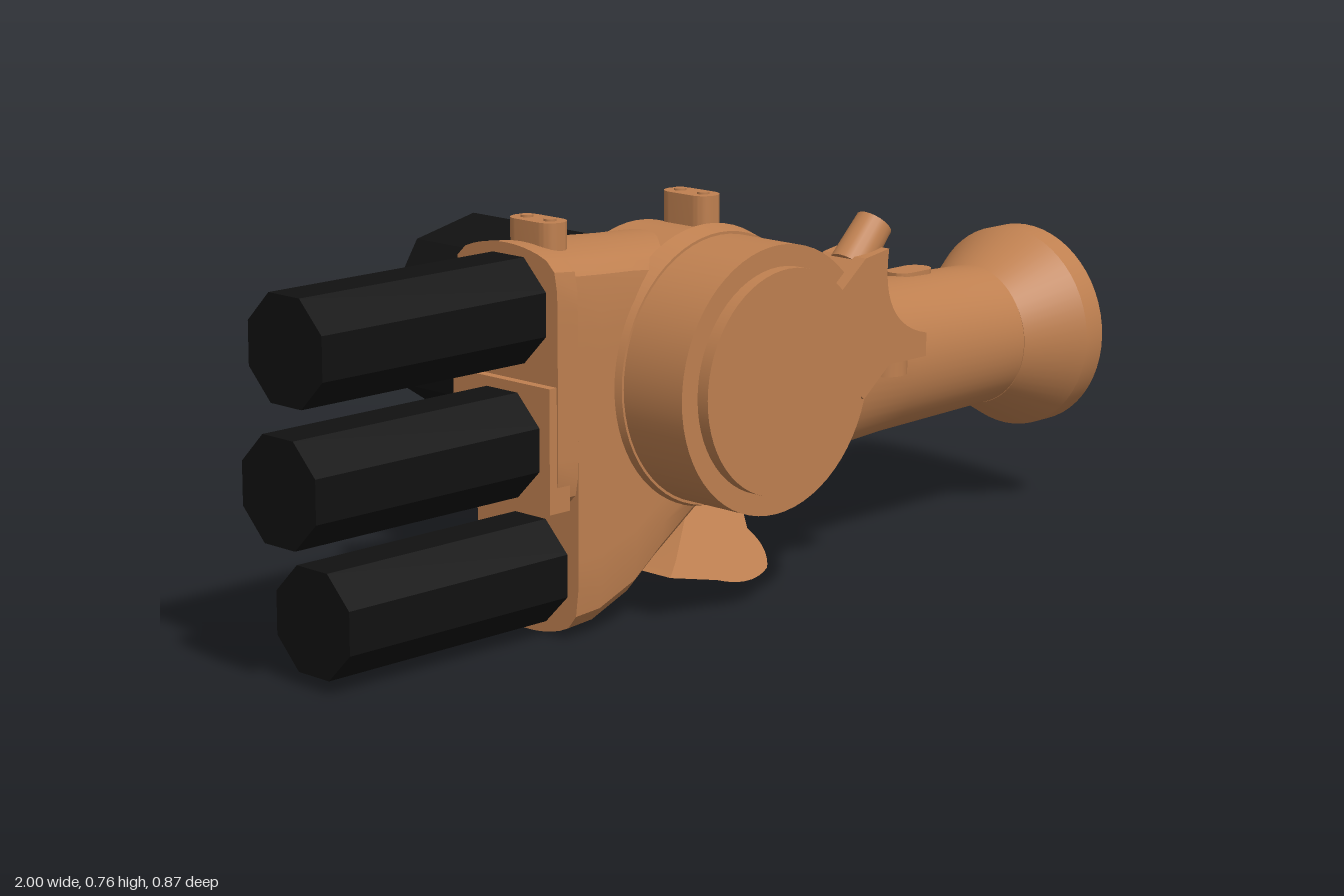
import * as THREE from 'three';
import { toCreasedNormals } from 'three/addons/utils/BufferGeometryUtils.js';

const copper = new THREE.MeshStandardMaterial({ color: 0xbf8050 });
const black = new THREE.MeshStandardMaterial({ color: 0x111111 });

// Loft along x through rounded sections: [x, yMin, yMax, zMin, zMax, squareness, crown]
function loft(sections, n = 56) {
  const pos = [], idx = [];
  for (const [x, y0, y1, z0, z1, power, crown] of sections) {
    for (let j = 0; j < n; j++) {
      const a = (j / n) * Math.PI * 2;
      const c = Math.cos(a), s = Math.sin(a);
      const r = Math.pow(Math.abs(c) ** power + Math.abs(s) ** power, -1 / power);
      const u = c * r, v = s * r * (1 - crown * u * u);
      pos.push(x, (y0 + y1) / 2 + v * (y1 - y0) / 2, (z0 + z1) / 2 + u * (z1 - z0) / 2);
    }
  }
  for (let i = 0; i < sections.length - 1; i++) {
    for (let j = 0; j < n; j++) {
      const a = i * n + j, b = i * n + (j + 1) % n;
      idx.push(a, a + n, b, a + n, b + n, b);
    }
  }
  // End caps
  const last = (sections.length - 1) * n;
  for (const [base, flip] of [[0, false], [last, true]]) {
    const s = sections[base / n], centre = pos.length / 3;
    pos.push(s[0], (s[1] + s[2]) / 2, (s[3] + s[4]) / 2);
    for (let j = 0; j < n; j++) {
      const p = base + j, q = base + (j + 1) % n;
      idx.push(centre, flip ? q : p, flip ? p : q);
    }
  }
  const g = new THREE.BufferGeometry();
  g.setAttribute('position', new THREE.Float32BufferAttribute(pos, 3));
  g.setIndex(idx);
  return toCreasedNormals(g, 0.5);
}

// Upright stadium-shaped stud, long along x or z
function stud(length, width, height, alongX) {
  const r = width / 2, h = length / 2 - r;
  const s = new THREE.Shape();
  s.absarc(h, 0, r, -Math.PI / 2, Math.PI / 2);
  s.absarc(-h, 0, r, Math.PI / 2, Math.PI * 1.5);
  const g = new THREE.ExtrudeGeometry(s, { depth: height, bevelEnabled: false, curveSegments: 10 });
  g.rotateX(-Math.PI / 2);
  if (!alongX) g.rotateY(Math.PI / 2);
  return g;
}

export function createModel() {
  const model = new THREE.Group();
  const add = (name, geometry, material, x = 0, y = 0, z = 0) => {
    const m = new THREE.Mesh(geometry, material);
    m.name = name;
    m.position.set(x, y, z);
    model.add(m);
    return m;
  };

  // Palm block, stepped under the lowest finger, blending into the wrist
  add('palmAndWrist', loft([
    [-0.46, 0.235, 0.725, -0.015, 0.25, 12, 0.12],
    [-0.41, 0.235, 0.72, -0.015, 0.25, 12, 0.12],
    [-0.41, 0.0, 0.72, -0.015, 0.25, 12, 0.09],
    [-0.35, 0.005, 0.715, -0.015, 0.25, 12, 0.09],
    [-0.26, 0.04, 0.71, -0.015, 0.25, 12, 0.1],
    [-0.19, 0.09, 0.705, -0.015, 0.25, 11, 0.12],
    [-0.08, 0.16, 0.7, -0.015, 0.25, 9, 0.15],
    [0.02, 0.185, 0.685, -0.015, 0.25, 7, 0.15],
    [0.12, 0.2, 0.63, -0.015, 0.26, 5, 0.1],
    [0.22, 0.21, 0.585, -0.015, 0.265, 3.2, 0.03],
    [0.32, 0.214, 0.55, -0.015, 0.265, 2.5, 0],
    [0.5, 0.218, 0.52, -0.015, 0.265, 2, 0],
    [0.84, 0.225, 0.507, -0.015, 0.265, 2, 0],
  ]), copper);

  // Flared cuff at the end of the wrist
  const cuff = new THREE.LatheGeometry([
    [0, 0.83], [0.141, 0.83], [0.205, 0.95], [0.205, 1], [0, 1],
  ].map(([r, h]) => new THREE.Vector2(r, h)), 56);
  cuff.rotateZ(-Math.PI / 2);
  add('cuff', toCreasedNormals(cuff, 0.4), copper, 0, 0.365, 0.125);

  // Three eight-sided fingers with their socket plates
  for (const [x, y] of [[-0.98, 0.608], [-1, 0.365], [-0.93, 0.12]]) {
    const finger = new THREE.CylinderGeometry(0.104, 0.104, 0.56, 8);
    finger.rotateY(Math.PI / 8).rotateZ(Math.PI / 2);
    add('finger', toCreasedNormals(finger, 0.3), black, x + 0.28, y, 0.125);
  }
  add('middleSocket', new THREE.BoxGeometry(0.05, 0.23, 0.25), copper, -0.453, 0.365, 0.122);

  // Thick eight-sided thumb through the back
  const thumb = new THREE.CylinderGeometry(0.2, 0.2, 0.47, 8);
  thumb.rotateX(Math.PI / 2).rotateZ(-0.18);
  add('thumb', toCreasedNormals(thumb, 0.3), black, -0.06, 0.457, -0.2);

  // Round housing on the front with its raised cover
  const housing = new THREE.CylinderGeometry(0.25, 0.25, 0.36, 64);
  housing.rotateX(Math.PI / 2);
  add('housing', housing, copper, -0.06, 0.455, 0.23);
  const collar = new THREE.CylinderGeometry(0.255, 0.265, 0.04, 64);
  collar.rotateX(Math.PI / 2);
  add('housingCollar', collar, copper, -0.06, 0.455, 0.245);
  const cover = new THREE.CylinderGeometry(0.21, 0.21, 0.05, 64);
  cover.rotateX(Math.PI / 2);
  add('housingCover', cover, copper, -0.06, 0.455, 0.41);

  // Concave clamp on the side of the housing
  const clampShape = new THREE.Shape();
  clampShape.moveTo(0.08, 0.6);
  clampShape.lineTo(0.15, 0.655);
  clampShape.lineTo(0.215, 0.665);
  clampShape.quadraticCurveTo(0.19, 0.52, 0.325, 0.49);
  clampShape.lineTo(0.325, 0.445);
  clampShape.lineTo(0.22, 0.445);
  clampShape.lineTo(0.15, 0.39);
  clampShape.lineTo(0.08, 0.45);
  const clamp = new THREE.ExtrudeGeometry(clampShape, { depth: 0.105, bevelEnabled: false });
  add('clamp', toCreasedNormals(clamp, 0.5), copper, 0, 0, 0.33);

  // Clamp bolts: tilted upper head and upright lower nut with its shank
  const head = add('clampHead', new THREE.CylinderGeometry(0.036, 0.04, 0.1, 20), copper, 0.2, 0.667, 0.38);
  head.rotation.z = -0.75;
  add('clampNut', new THREE.CylinderGeometry(0.04, 0.04, 0.035, 20), copper, 0.272, 0.43, 0.382);

  // Studs on top: [name, x, base y, z, length, width, height, along x]
  for (const [name, x, y, z, l, w, h, alongX] of [
    ['knuckleStud', -0.388, 0.68, 0.128, 0.12, 0.06, 0.08, false],
    ['rearStud', 0.007, 0.66, 0.128, 0.12, 0.06, 0.1, false],
    ['crossStud', 0.15, 0.57, 0.125, 0.19, 0.06, 0.06, false],
    ['longWristStud', 0.41, 0.49, 0.115, 0.18, 0.07, 0.065, true],
    ['shortWristStud', 0.652, 0.48, 0.11, 0.105, 0.06, 0.042, true],
  ]) add(name, toCreasedNormals(stud(l, w, h, alongX), 0.5), copper, x, y, z);

  // Small pins on the knuckle and rear studs
  for (const x of [-0.388, 0.007]) {
    for (const z of [0.098, 0.158]) {
      add('studPin', new THREE.CylinderGeometry(0.012, 0.012, 0.006, 12), copper, x, 0.761, z);
    }
  }

  // Hooked guard below the housing, leaning forward towards its tip
  const hookShape = new THREE.Shape();
  hookShape.moveTo(-0.2, 0.085);
  hookShape.lineTo(-0.09, 0.062);
  hookShape.quadraticCurveTo(-0.01, 0.035, 0.045, 0.06);
  hookShape.quadraticCurveTo(0.07, 0.09, 0.035, 0.13);
  hookShape.lineTo(0.05, 0.2);
  hookShape.lineTo(-0.08, 0.2);
  hookShape.lineTo(-0.17, 0.11);
  const hook = new THREE.ExtrudeGeometry(hookShape, { depth: 0.08, bevelEnabled: false });
  const p = hook.attributes.position;
  for (let i = 0; i < p.count; i++) p.setZ(i, p.getZ(i) + 0.145 + (0.17 - p.getY(i)) * 0.6);
  add('hook', toCreasedNormals(hook, 0.5), copper);

  return model;
}
